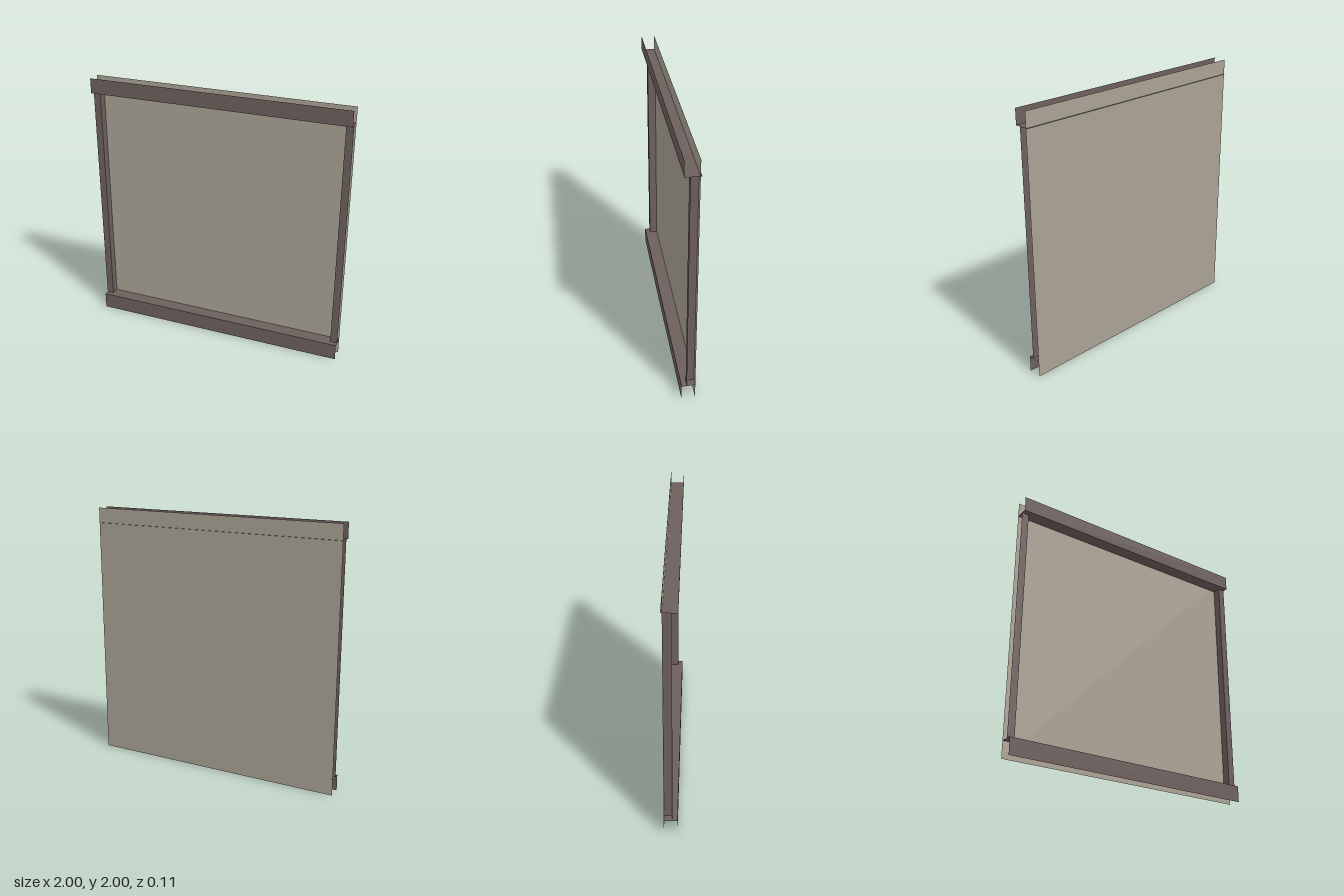
import * as THREE from 'three';

export function createModel() {
  const group = new THREE.Group();
  const frameMat = new THREE.MeshStandardMaterial({ color: 0x6d605d, side: THREE.DoubleSide });
  frameMat.name = 'dark brown frame';
  const panelMat = new THREE.MeshStandardMaterial({ color: 0xaaa395, side: THREE.DoubleSide });
  panelMat.name = 'beige panel';

  const FRONT = 0.055, POST = 0.016, PANEL = -0.045, BACK = -0.055;
  const LOW = 0.125, HIGH = 1.885, INNER = 0.945;

  // Flat sheet facing +z, spanning x0..x1 and y0..y1
  function upright(name, mat, x0, x1, y0, y1, z, parent) {
    const mesh = new THREE.Mesh(new THREE.PlaneGeometry(x1 - x0, y1 - y0), mat);
    mesh.position.set((x0 + x1) / 2, (y0 + y1) / 2, z);
    mesh.name = name;
    parent.add(mesh);
  }

  // Back panel
  upright('backPanel', panelMat, -1, 1, 0, 2, PANEL, group);

  // Rails: a front face and a ledge reaching back to the panel
  function rail(name, y0, y1, ledgeY, backZ, up) {
    const part = new THREE.Group();
    part.name = name;
    upright(name + 'Face', frameMat, -1, 1, y0, y1, FRONT, part);
    const ledge = new THREE.Mesh(new THREE.PlaneGeometry(2, FRONT - backZ), frameMat);
    ledge.rotation.x = -up * Math.PI / 2;
    ledge.position.set(0, ledgeY, (FRONT + backZ) / 2);
    ledge.name = name + 'Ledge';
    part.add(ledge);
    group.add(part);
  }
  rail('topRail', HIGH, 2, HIGH, BACK, -1);
  rail('bottomRail', 0, LOW, LOW, PANEL, 1);

  // Side posts: a narrow front face and an inner return
  for (const side of [-1, 1]) {
    const name = side > 0 ? 'leftPost' : 'rightPost';
    const part = new THREE.Group();
    part.name = name;
    upright(name + 'Face', frameMat, Math.min(side, side * INNER), Math.max(side, side * INNER), LOW, HIGH, POST, part);
    const inner = new THREE.Mesh(new THREE.PlaneGeometry(POST - PANEL, HIGH - LOW), frameMat);
    inner.rotation.y = -side * Math.PI / 2;
    inner.position.set(side * INNER, (LOW + HIGH) / 2, (POST + PANEL) / 2);
    inner.name = name + 'Return';
    part.add(inner);
    group.add(part);
  }

  return group;
}
